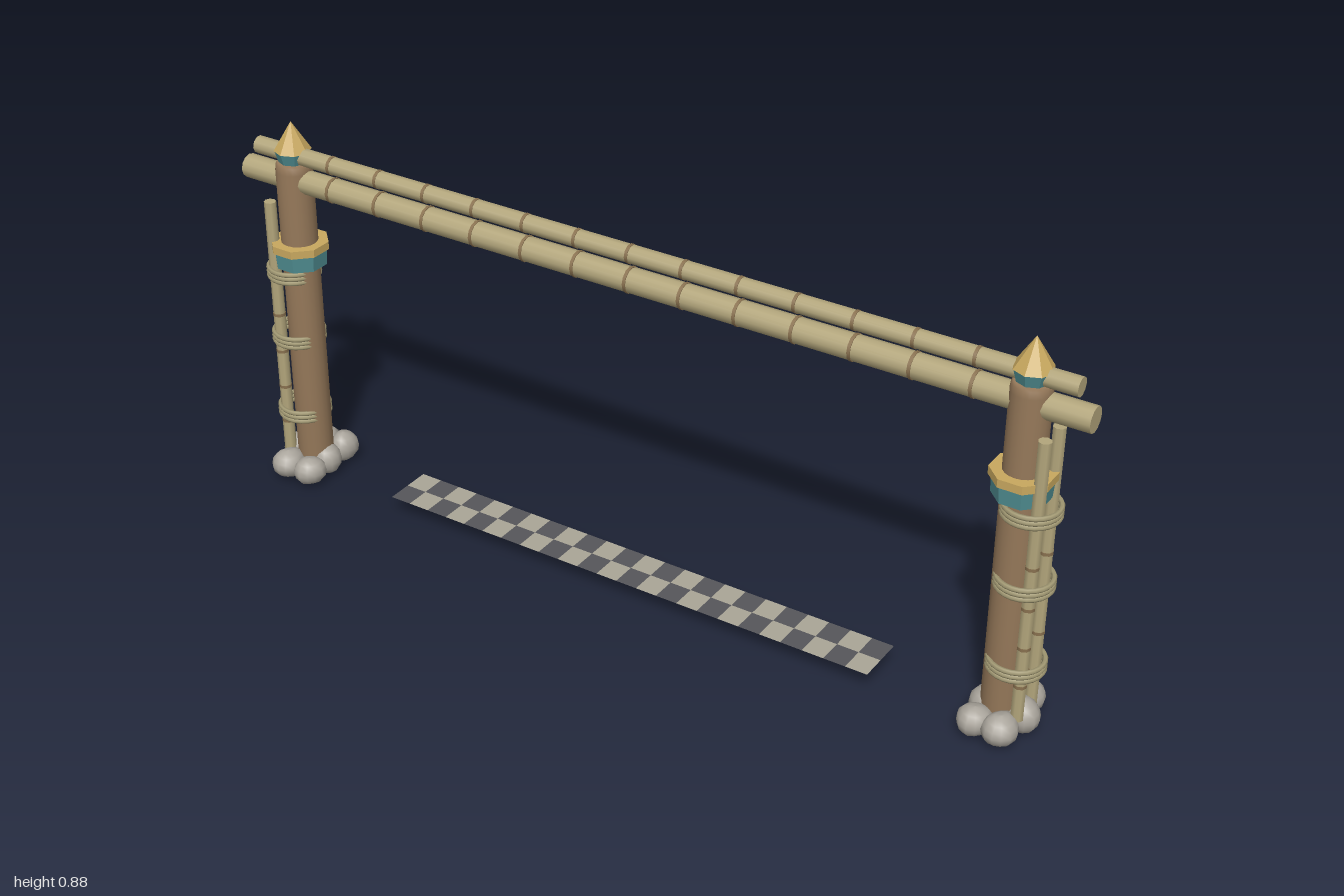
import * as THREE from 'three';

const mat = (name, color, opts = {}) => {
  const m = new THREE.MeshStandardMaterial({ color, ...opts });
  m.name = name;
  return m;
};

export function createModel() {
  const wood = mat('post wood', 0x96795a);
  const bamboo = mat('bamboo', 0xb3a67c);
  const node = mat('bamboo node', 0x8a7250);
  const rope = mat('rope', 0xa39a74);
  const gold = mat('gold trim', 0xc8a85f, { flatShading: true });
  const teal = mat('teal trim', 0x4f8c90, { flatShading: true });
  const stone = mat('stone', 0xaaa59c);
  const light = mat('light check', 0xaaa697, { side: THREE.DoubleSide });
  const dark = mat('dark check', 0x56565a, { side: THREE.DoubleSide });

  const model = new THREE.Group();
  model.name = 'gateway';

  const add = (parent, name, geo, material, x = 0, y = 0, z = 0) => {
    const m = new THREE.Mesh(geo, material);
    m.name = name;
    m.position.set(x, y, z);
    parent.add(m);
    return m;
  };

  // A bamboo pole along y with slightly proud rings at the given heights
  const pole = (name, radius, length, sides, nodes) => {
    const g = new THREE.Group();
    g.name = name;
    add(g, 'cane', new THREE.CylinderGeometry(radius, radius, length, sides), bamboo);
    const ring = new THREE.CylinderGeometry(radius * 1.06, radius * 1.06, 0.007, sides);
    nodes.forEach(y => add(g, 'caneNode', ring, node, 0, y, 0));
    return g;
  };

  // Horizontal beams
  const steps = n => Array.from({ length: 2 * n + 1 }, (_, i) => (i - n) * 0.127);
  const beam = pole('lowerBeam', 0.027, 2, 12, steps(6));
  beam.rotation.z = Math.PI / 2;
  beam.position.y = 0.742;
  const rail = pole('upperBeam', 0.02, 1.935, 10, steps(7));
  rail.rotation.z = Math.PI / 2;
  rail.position.y = 0.8;
  model.add(beam, rail);

  // Uneven boulder: a sphere with gently waved radius
  const boulder = seed => {
    const g = new THREE.SphereGeometry(1, 12, 8);
    const p = g.attributes.position;
    const v = new THREE.Vector3();
    for (let i = 0; i < p.count; i++) {
      v.fromBufferAttribute(p, i);
      v.multiplyScalar(1 + 0.06 * Math.sin(3 * v.x + seed) * Math.cos(2.5 * v.z + seed * 2));
      p.setXYZ(i, v.x, v.y, v.z);
    }
    g.computeVertexNormals();
    return g;
  };

  // x (outward), y, z, then half sizes
  const rocks = [
    [0.03, 0.038, 0.062, 0.036, 0.034, 0.041],
    [-0.028, 0.036, 0.058, 0.036, 0.032, 0.038],
    [0.03, 0.038, -0.062, 0.036, 0.034, 0.041],
    [-0.028, 0.04, -0.066, 0.033, 0.036, 0.038],
    [0.045, 0.041, 0, 0.042, 0.039, 0.036],
    [-0.03, 0.04, 0, 0.036, 0.036, 0.036],
  ];

  for (const s of [1, -1]) {
    const tower = new THREE.Group();
    tower.name = s > 0 ? 'leftTower' : 'rightTower';
    tower.position.x = s * 0.872;
    model.add(tower);

    // Post with a softened top edge
    const profile = [[0, 0.02], [0.041, 0.02], [0.041, 0.765], [0.039, 0.78], [0.035, 0.785], [0, 0.785]];
    add(tower, 'post', new THREE.LatheGeometry(profile.map(p => new THREE.Vector2(...p)), 20), wood);

    // Finial
    add(tower, 'finialCollar', new THREE.CylinderGeometry(0.04, 0.031, 0.032, 8), teal, 0, 0.796);
    add(tower, 'finialTip', new THREE.ConeGeometry(0.041, 0.066, 8), gold, 0, 0.844);

    // Eight-sided bands
    const tealBand = add(tower, 'tealBand', new THREE.CylinderGeometry(0.061, 0.058, 0.04, 8), teal, 0, 0.559);
    const goldBand = add(tower, 'goldBand', new THREE.CylinderGeometry(0.066, 0.066, 0.018, 8), gold, 0, 0.586);
    tealBand.rotation.y = goldBand.rotation.y = Math.PI / 8;

    // Canes strapped to the outer face
    for (const z of [0.032, -0.032]) {
      const cane = pole('sideCane', 0.0135, 0.635, 8, [-0.235, -0.145, -0.053, 0.04]);
      cane.position.set(s * 0.049, 0.37, z);
      tower.add(cane);
    }

    // Triple rope lashings
    const coil = new THREE.TorusGeometry(0.056, 0.0055, 6, 24).rotateX(Math.PI / 2);
    for (const y of [0.163, 0.355, 0.517])
      for (const d of [-0.01, 0, 0.01]) add(tower, 'ropeLashing', coil, rope, s * 0.023, y + d, 0);

    // Boulders at the foot
    rocks.forEach(([x, y, z, a, b, c], i) => {
      add(tower, 'boulder', boulder(i + 1), stone, s * x, y, z).scale.set(a, b, c);
    });
  }

  // Chequered line between the towers
  const line = new THREE.Group();
  line.name = 'chequeredLine';
  model.add(line);
  const cols = 24, w = 1.21 / cols, d = 0.058;
  const tile = new THREE.PlaneGeometry(w, d).rotateX(-Math.PI / 2);
  for (let i = 0; i < cols; i++)
    for (let j = 0; j < 2; j++)
      add(line, 'check', tile, (i + j) % 2 ? dark : light, (i + 0.5) * w - 0.605, 0.045, (j - 0.5) * d);

  return model;
}
